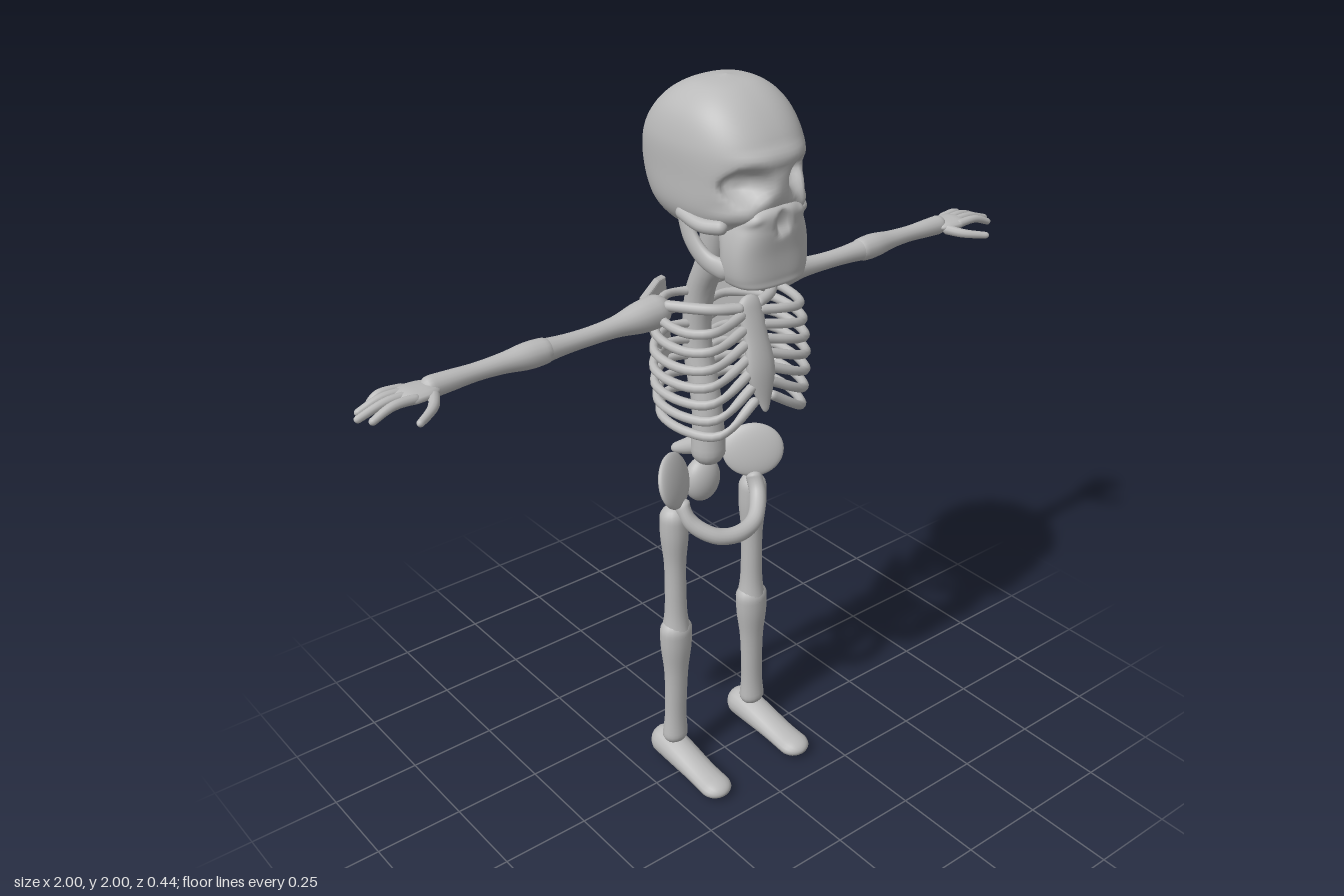
import * as THREE from 'three';
import { mergeVertices } from 'three/addons/utils/BufferGeometryUtils.js';

const boneGrey = new THREE.MeshStandardMaterial({ color: 0xbababa });
boneGrey.name = 'boneGrey';

const V = (p) => new THREE.Vector3(...p);

function add(group, name, geometry) {
  const mesh = new THREE.Mesh(geometry, boneGrey);
  mesh.name = name;
  group.add(mesh);
  return mesh;
}

// Round-ended tube along a curve; radii are spread evenly over its length, flat scales the section per axis
function bone(points, radii, { flat = [1, 1, 1], steps = 40, sides = 16 } = {}) {
  const curve = new THREE.CatmullRomCurve3(points.map(V));
  const rCurve = new THREE.CatmullRomCurve3(
    (radii.length > 1 ? radii : [radii[0], radii[0]]).map((r) => new THREE.Vector3(r, 0, 0)), false, 'catmullrom');
  const length = curve.getLength();
  let geo = new THREE.TubeGeometry(curve, steps, 1, sides);
  const pos = geo.attributes.position, v = new THREE.Vector3(), f = V(flat);
  for (let i = 0; i <= steps; i++) {
    // crowd the rings toward both ends so the caps come out round
    const u = 0.5 - 0.5 * Math.cos((Math.PI * i) / steps);
    const centre = curve.getPointAt(u), old = curve.getPointAt(i / steps);
    const r = rCurve.getPoint(u).x;
    const d = Math.min(1, (Math.min(u, 1 - u) * length) / r);
    const scale = r * Math.sqrt(Math.max(0, 1 - (1 - d) ** 2)) + 1e-5;
    for (let j = 0; j <= sides; j++) {
      const k = i * (sides + 1) + j;
      v.fromBufferAttribute(pos, k).sub(old).multiplyScalar(scale).multiply(f).add(centre);
      pos.setXYZ(k, v.x, v.y, v.z);
    }
  }
  geo.deleteAttribute('uv');
  geo.deleteAttribute('normal');
  geo = mergeVertices(geo, 1e-6);
  geo.computeVertexNormals();
  return geo;
}

// Horizontal rounded sections [y, halfWidth, zFront, zBack], dented by the face hollows
function skullLoft(sections, power) {
  const rows = 64, cols = 72, verts = [], index = [];
  const a = new THREE.CatmullRomCurve3(sections.map((s) => V([s[0], s[1], 0])), false, 'catmullrom');
  const b = new THREE.CatmullRomCurve3(sections.map((s) => V([s[2], s[3], 0])), false, 'catmullrom');
  // [x, y, radiusX, radiusY, depth]: eye sockets, nose, brow, cheek bones
  const hollows = [[0, 1.695, 0.016, 0.028, 0.022], [0, 1.85, 0.1, 0.02, -0.008]];
  for (const s of [-1, 1]) {
    hollows.push([s * 0.078, 1.787, 0.043, 0.036, 0.062], [s * 0.1, 1.715, 0.04, 0.02, -0.012]);
  }
  const shape = (n) => Math.sign(n) * Math.abs(n) ** (2 / power);
  for (let i = 0; i <= rows; i++) {
    const { x: y, y: w } = a.getPoint(i / rows), { x: front, y: back } = b.getPoint(i / rows);
    for (let j = 0; j < cols; j++) {
      const t = (j / cols) * Math.PI * 2;
      const x = Math.max(w, 0) * shape(Math.cos(t));
      let z = (front + back) / 2 + ((front - back) / 2) * shape(Math.sin(t));
      if (z > 0.08) {
        for (const [hx, hy, rx, ry, depth] of hollows) {
          const d = ((x - hx) / rx) ** 2 + ((y - hy) / ry) ** 2;
          z -= depth * Math.exp(-d * d) * Math.min(1, (z - 0.08) / 0.05);
        }
      }
      verts.push(x, y, z);
      if (i < rows) {
        const p = i * cols + j, q = i * cols + ((j + 1) % cols);
        index.push(p, p + cols, q, p + cols, q + cols, q);
      }
    }
  }
  const geo = new THREE.BufferGeometry();
  geo.setAttribute('position', new THREE.Float32BufferAttribute(verts, 3));
  geo.setIndex(index);
  geo.computeVertexNormals();
  return geo;
}

function ellipsoid(rx, ry, rz) {
  return new THREE.SphereGeometry(1, 32, 20).scale(rx, ry, rz);
}

function buildSkull(g) {
  add(g, 'cranium', skullLoft([
    [1.615, 0, 0, -0.05], [1.625, 0.06, 0.08, -0.1], [1.66, 0.12, 0.165, -0.155], [1.71, 0.152, 0.198, -0.195],
    [1.79, 0.158, 0.212, -0.224], [1.87, 0.157, 0.196, -0.208], [1.94, 0.133, 0.145, -0.15],
    [1.985, 0.08, 0.08, -0.075], [2, 0, 0.005, 0.005]], 2.4));
  add(g, 'faceAndChin', skullLoft([
    [1.54, 0, 0.14, 0.14], [1.537, 0.085, 0.208, 0.09], [1.56, 0.108, 0.215, 0.08], [1.62, 0.112, 0.214, 0.08],
    [1.68, 0.1, 0.217, 0.06], [1.73, 0.07, 0.212, 0.06], [1.75, 0, 0.14, 0.14]], 2.8));
  for (const s of [-1, 1]) {
    add(g, 'jawBranch', bone([[s * 0.128, 1.71, -0.005], [s * 0.123, 1.63, 0.025], [s * 0.112, 1.585, 0.07],
      [s * 0.095, 1.57, 0.14]], [0.02, 0.024, 0.026, 0.028], { flat: [0.6, 1, 1] }));
    add(g, 'cheekArch', bone([[s * 0.115, 1.69, 0.15], [s * 0.14, 1.685, 0.09], [s * 0.14, 1.7, 0]], [0.018]));
  }
}

function buildTrunk(g) {
  add(g, 'spine', bone([[0, 1.65, -0.03], [0, 1.52, -0.055], [0, 1.42, -0.1], [0, 1.28, -0.115],
    [0, 1.1, -0.075], [0, 0.93, -0.07]], [0.038, 0.038, 0.038, 0.04, 0.042, 0.05]));
  add(g, 'breastbone', bone([[0, 1.47, 0.085], [0, 1.36, 0.125], [0, 1.18, 0.165]],
    [0.04, 0.036, 0.042, 0.008], { flat: [1, 1, 0.4] }));
  add(g, 'sacrum', ellipsoid(0.055, 0.066, 0.038)).position.set(0, 0.87, -0.098);
  add(g, 'pubicArch', bone([[-0.125, 0.88, -0.035], [-0.115, 0.82, 0], [-0.065, 0.78, 0.045], [0, 0.77, 0.06],
    [0.065, 0.78, 0.045], [0.115, 0.82, 0], [0.125, 0.88, -0.035]], [0.023], { steps: 60 }));
  for (const s of [-1, 1]) {
    // ribs sweep from the spine round the boxy side and up to the breastbone
    for (let i = 0; i < 7; i++) {
      const y = 1.425 - 0.045 * i, w = 0.165 + 0.03 * Math.sin((Math.PI * (i + 1)) / 8);
      const end = 1.43 - 0.035 * i, zEnd = 0.1 + 0.009 * i;
      add(g, 'rib', bone([[s * 0.02, y, -0.11], [s * 0.1, y + 0.005, -0.115], [s * w, y - 0.005, -0.04],
        [s * w, y - 0.012, 0.07], [s * (w - 0.045), y - 0.005, 0.125 + 0.004 * i], [s * 0.02, end, zEnd]],
      [0.012, 0.012, 0.013], { steps: 36, sides: 10 }));
    }
    add(g, 'collarBone', bone([[s * 0.02, 1.445, 0.1], [s * 0.09, 1.45, 0.07], [s * 0.17, 1.45, -0.03]], [0.014]));
    // shoulder blade: triangular plate slanting back toward the spine
    const shape = new THREE.Shape([[0.06, 1.445], [0.1, 1.455], [0.195, 1.455], [0.185, 1.4], [0.1, 1.235], [0.07, 1.25]]
      .map(([x, y]) => new THREE.Vector2(s * x, y)));
    const blade = new THREE.ExtrudeGeometry(shape, { depth: 0.015, bevelSize: 0.005, bevelThickness: 0.005, bevelSegments: 2 });
    const p = blade.attributes.position;
    for (let i = 0; i < p.count; i++) {
      p.setZ(i, p.getZ(i) - 0.187 + (Math.abs(p.getX(i)) - 0.06) * 0.75 + (1.45 - p.getY(i)) * 0.15);
    }
    blade.computeVertexNormals();
    add(g, 'shoulderBlade', blade);
    // hip blade: thin disc turned toward the centre
    const hip = add(g, 'hipBlade', ellipsoid(0.085, 0.074, 0.02));
    hip.position.set(s * 0.135, 0.935, -0.045);
    hip.rotation.set(-0.3, -s * 0.55, 0, 'YXZ');
    add(g, 'spineWing', bone([[0, 0.99, -0.08], [s * 0.025, 0.965, -0.13], [s * 0.05, 0.95, -0.168]],
      [0.03, 0.024, 0.012]));
  }
}

function buildArm(g, s) {
  add(g, 'upperArm', bone([[s * 0.14, 1.432, -0.05], [s * 0.35, 1.423, -0.045], [s * 0.54, 1.423, -0.043]],
    [0.042, 0.041, 0.027, 0.023, 0.025, 0.033]));
  add(g, 'forearm', bone([[s * 0.48, 1.423, -0.043], [s * 0.65, 1.423, -0.047], [s * 0.83, 1.42, -0.05]],
    [0.03, 0.033, 0.025, 0.022, 0.025, 0.028]));
  add(g, 'palm', bone([[s * 0.785, 1.42, -0.048], [s * 0.9, 1.418, -0.05]], [0.036, 0.045, 0.046],
    { flat: [1, 0.38, 1] }));
  // [zRoot, zTip, xTip] for the four fingers
  for (const [z0, z1, x1] of [[-0.083, -0.09, 0.945], [-0.063, -0.07, 0.985], [-0.042, -0.042, 1], [-0.018, -0.01, 0.98]]) {
    add(g, 'finger', bone([[s * 0.85, 1.42, z0], [s * 0.92, 1.422, (z0 + z1) / 2], [s * x1, 1.4, z1]],
      [0.012, 0.011, 0.009], { steps: 20, sides: 10 }));
  }
  add(g, 'thumb', bone([[s * 0.81, 1.415, -0.03], [s * 0.84, 1.408, 0.02], [s * 0.9, 1.4, 0.062]],
    [0.015, 0.012, 0.009], { steps: 20, sides: 10 }));
}

function buildLeg(g, s) {
  add(g, 'thigh', bone([[s * 0.137, 0.86, -0.047], [s * 0.135, 0.65, -0.047], [s * 0.135, 0.42, -0.047]],
    [0.038, 0.039, 0.031, 0.03, 0.033, 0.048]));
  add(g, 'shin', bone([[s * 0.135, 0.5, -0.047], [s * 0.138, 0.3, -0.047], [s * 0.144, 0.07, -0.05]],
    [0.045, 0.043, 0.034, 0.031, 0.031, 0.039], { flat: [1.08, 1, 0.92] }));
  const foot = bone([[s * 0.142, 0.046, -0.137], [s * 0.144, 0.046, 0], [s * 0.146, 0.046, 0.182]],
    [0.046, 0.046, 0.044, 0.048]);
  // lower the instep toward the toes
  const p = foot.attributes.position;
  for (let i = 0; i < p.count; i++) {
    p.setY(i, p.getY(i) * (1 - 0.45 * THREE.MathUtils.smoothstep(p.getZ(i), -0.1, 0.17)));
  }
  foot.computeVertexNormals();
  add(g, 'foot', foot);
}

export function createModel() {
  const model = new THREE.Group();
  model.name = 'skeleton';
  const part = (name) => {
    const g = new THREE.Group();
    g.name = name;
    model.add(g);
    return g;
  };
  buildSkull(part('skull'));
  buildTrunk(part('trunk'));
  for (const [s, side] of [[1, 'left'], [-1, 'right']]) {
    buildArm(part(side + 'Arm'), s);
    buildLeg(part(side + 'Leg'), s);
  }
  return model;
}
